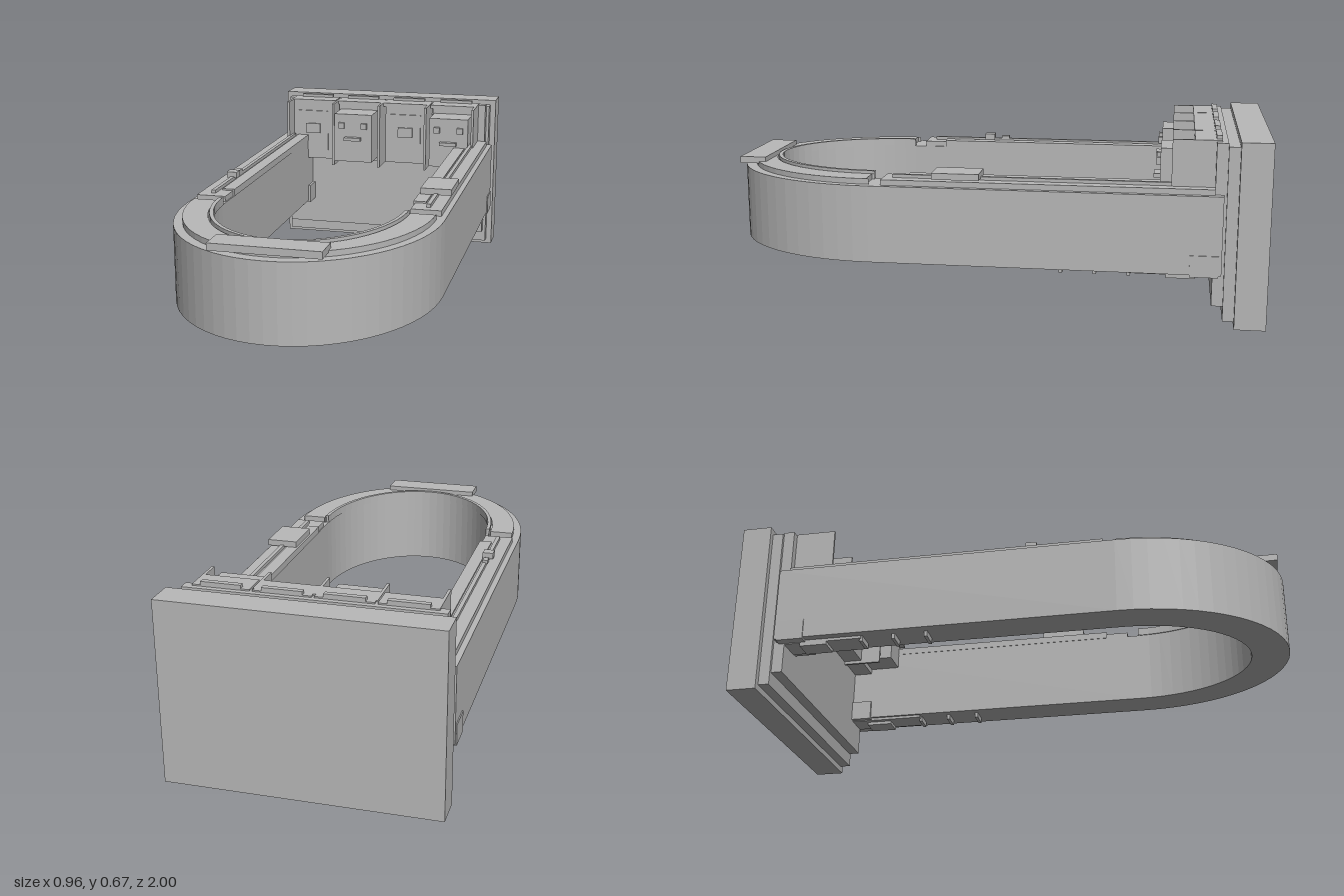
import * as THREE from 'three';

export function createModel() {
  const model = new THREE.Group();
  const grey = new THREE.MeshStandardMaterial({ color: 0xb8b8b8 });
  grey.name = 'plain grey';

  function add(name, geometry) {
    const mesh = new THREE.Mesh(geometry, grey);
    mesh.name = name;
    model.add(mesh);
  }

  // Box given by its extents on each axis
  function box(name, x0, x1, y0, y1, z0, z1) {
    const g = new THREE.BoxGeometry(x1 - x0, y1 - y0, z1 - z0);
    add(name, g.translate((x0 + x1) / 2, (y0 + y1) / 2, (z0 + z1) / 2));
  }

  // The same box on both sides
  function pair(name, x0, x1, ...rest) {
    box(name + 'Left', x0, x1, ...rest);
    box(name + 'Right', -x1, -x0, ...rest);
  }

  // Half-elliptical arch lying flat, with straight legs running back to zEnd
  function arch(name, outer, inner, zEnd, y0, y1) {
    const bend = 0.41, steps = 32, points = [];
    const trace = (r, reverse) => {
      const line = [[r[0], zEnd]];
      for (let i = 0; i <= steps; i++) {
        const a = (Math.PI * i) / steps;
        line.push([r[0] * Math.cos(a), bend + r[1] * Math.sin(a)]);
      }
      line.push([-r[0], zEnd]);
      if (reverse) line.reverse();
      line.forEach((p) => points.push(new THREE.Vector2(p[0], p[1])));
    };
    trace(outer, false);
    trace(inner, true);
    const g = new THREE.ExtrudeGeometry(new THREE.Shape(points), { depth: y1 - y0, bevelEnabled: false });
    add(name, g.rotateX(Math.PI / 2).translate(0, y1, 0));
  }

  // Stepped wall plate
  box('backPlate', -0.48, 0.48, 0, 0.66, -1, -0.89);
  box('middlePlate', -0.457, 0.457, 0.022, 0.64, -0.89, -0.85);
  box('frontPlate', -0.445, 0.445, 0.072, 0.65, -0.85, -0.81);

  // Main loop and the raised trim around its bend
  arch('loop', [0.475, 0.59], [0.34, 0.45], -0.84, 0.19, 0.47);
  arch('bendPad', [0.445, 0.55], [0.355, 0.47], 0.42, 0.47, 0.49);
  arch('bendRim', [0.35, 0.465], [0.336, 0.45], 0.42, 0.47, 0.5);
  box('frontTab', -0.19, 0.19, 0.483, 0.508, 0.88, 0.98);

  // Rails on the straight legs
  pair('rail', 0.345, 0.455, 0.47, 0.49, -0.81, 0.365);
  pair('railStrip', 0.395, 0.41, 0.49, 0.502, -0.72, 0.33);
  pair('innerRidge', 0.338, 0.385, 0.47, 0.496, -0.81, 0.28);
  box('buckle', 0.345, 0.46, 0.497, 0.52, 0.01, 0.18);
  box('catch', -0.425, -0.385, 0.497, 0.52, 0.08, 0.12);
  box('catchPin', -0.415, -0.395, 0.497, 0.512, 0.02, 0.05);

  // Wall brackets and bars under the legs
  pair('bracket', 0.33, 0.479, 0.183, 0.26, -0.83, -0.73);
  pair('underPlate', 0.35, 0.445, 0.18, 0.19, -0.82, -0.52);
  pair('underBlock', 0.37, 0.445, 0.168, 0.19, -0.75, -0.65);
  for (const z of [-0.28, -0.4, -0.52]) {
    pair('underBar', 0.37, 0.44, 0.17, 0.19, z - 0.006, z + 0.006);
  }

  // Four bays with thin dividers
  for (const x of [-0.41, -0.205, 0, 0.205, 0.41]) {
    box('divider', x - 0.005, x + 0.005, 0.38, 0.655, -0.81, -0.66);
  }
  [-0.315, -0.105, 0.105, 0.315].forEach((x, i) => {
    box('bayPanel', x - 0.09, x + 0.09, 0.39, 0.64, -0.82, -0.737);
    box('bayLintel', x - 0.1, x + 0.1, 0.64, 0.655, -0.83, -0.737);
    box('bayCap', x - 0.07, x + 0.07, 0.65, 0.667, -0.83, -0.81);
    if (i % 2) {
      // Blocky head with square eyes and a bar mouth
      box('head', x - 0.083, x + 0.083, 0.41, 0.62, -0.75, -0.62);
      for (const s of [-1, 1]) {
        const e = x + s * 0.05;
        box('eye', e - 0.0125, e + 0.0125, 0.558, 0.583, -0.62, -0.605);
      }
      box('mouth', x - 0.036, x + 0.036, 0.506, 0.52, -0.62, -0.597);
    } else {
      // Empty bay with a shallow panel and latch
      box('insetPanel', x - 0.067, x + 0.067, 0.43, 0.607, -0.74, -0.73);
      box('latch', x - 0.032, x + 0.032, 0.507, 0.55, -0.73, -0.722);
    }
  });

  return model;
}
